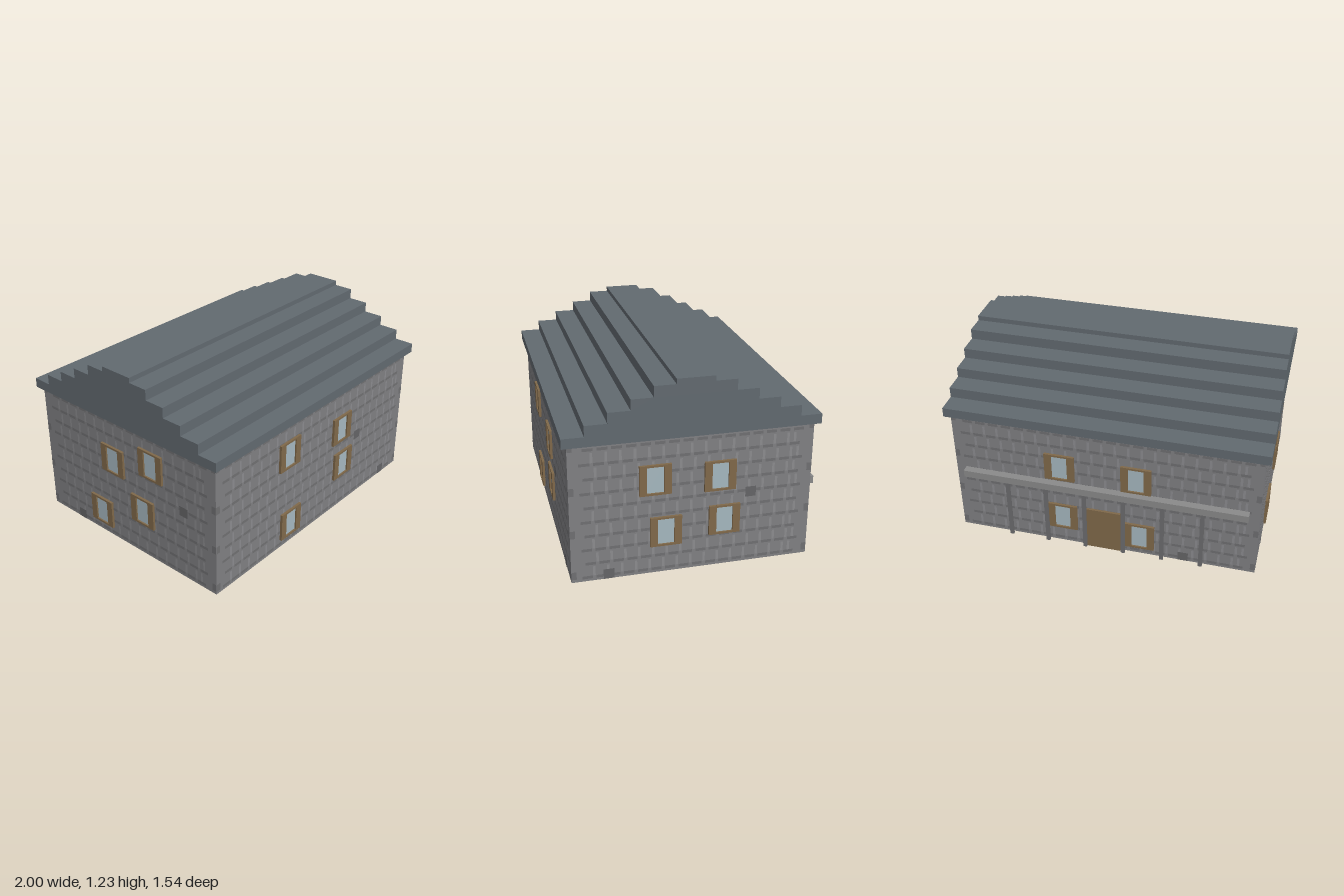
import * as THREE from 'three';
import { mergeGeometries } from 'three/addons/utils/BufferGeometryUtils.js';

const mat = (color) => new THREE.MeshStandardMaterial({ color });
const M = {
  stone: mat(0x808083), dark: mat(0x707072), light: mat(0x8c8c8f), patch: mat(0x656567),
  roof: mat(0x626a70), wood: mat(0x80694a), glass: mat(0xa6b8c0), beam: mat(0x8a8a8a), post: mat(0x6c6c6e),
};
const HX = 0.967, FRONT = 0.735, BACK = -0.72, WALL_H = 0.88;

function box(parent, name, material, w, h, d, x, y, z) {
  const mesh = new THREE.Mesh(new THREE.BoxGeometry(w, h, d), material);
  mesh.name = name;
  mesh.position.set(x, y, z);
  parent.add(mesh);
  return mesh;
}

// Shuttered window, centred on (u, v), standing proud of a wall at local z = 0
function addWindow(side, u, v) {
  const g = new THREE.Group();
  g.name = 'window';
  g.position.set(u, v, 0);
  for (const s of [-1, 1]) {
    box(g, 'shutter', M.wood, 0.045, 0.19, 0.03, s * 0.0725, 0, 0.001);
    box(g, 'frameRail', M.wood, 0.1, 0.0125, 0.03, 0, s * 0.0888, 0.001);
  }
  box(g, 'glass', M.glass, 0.1, 0.165, 0.012, 0, 0, 0);
  side.add(g);
}

// Masonry courses: flat dark joints and light upright joints just above the wall face
function addMasonry(side, u0, u1) {
  const joints = [], ticks = [];
  const quad = (list, w, h, x, y, z) => list.push(new THREE.PlaneGeometry(w, h).translate(x, y, z));
  const pitch = 0.083, n = Math.floor((u1 - u0 - 0.06) / pitch), start = (u0 + u1 - n * pitch) / 2;
  for (let row = 0; row < 10; row++) {
    const y = 0.025 + row * 0.091;
    const shift = row % 2 ? 0.25 : -0.25;
    for (let i = 0; i < n; i++) {
      const x = start + (i + 0.5 + shift * 0.5) * pitch;
      quad(joints, 0.062, 0.018, x, y, 0.001);
      if (row < 9) quad(ticks, 0.015, 0.062, x + pitch * 0.5 * (i < n - 1 ? 1 : 0), y + 0.04, 0.001);
    }
    // corner stones
    if (row % 3 === 0) for (const x of [u0 + 0.016, u1 - 0.016]) quad(joints, 0.03, 0.05, x, y + 0.02, 0.0015);
  }
  for (const [list, m, name] of [[joints, M.dark, 'bedJoints'], [ticks, M.light, 'uprightJoints']]) {
    const mesh = new THREE.Mesh(mergeGeometries(list), m);
    mesh.name = name;
    side.add(mesh);
  }
}

export function createModel() {
  const house = new THREE.Group();
  house.name = 'house';

  box(house, 'walls', M.stone, HX * 2, WALL_H, FRONT - BACK, 0, WALL_H / 2, (FRONT + BACK) / 2);

  // Each side: local x runs to the viewer's right, local z points outwards
  const sides = [
    { name: 'frontSide', pos: [0, 0, FRONT], turn: 0, u: [-HX, HX],
      windows: [[-0.308, 0.662], [0.238, 0.6], [0.27, 0.325], [-0.279, 0.15]],
      patches: [[0.432, 0.47], [0.772, 0.033]] },
    { name: 'leftSide', pos: [HX, 0, 0], turn: Math.PI / 2, u: [-FRONT, -BACK],
      windows: [[-0.234, 0.617], [0.154, 0.6], [-0.17, 0.277], [0.185, 0.31]],
      patches: [[0.345, 0.47], [-0.512, 0.033]] },
    { name: 'backSide', pos: [0, 0, BACK], turn: Math.PI, u: [-HX, HX],
      windows: [[-0.28, 0.6], [0.205, 0.59], [-0.272, 0.21], [0.228, 0.145]],
      patches: [[0.51, 0.033]] },
    { name: 'rightSide', pos: [-HX, 0, 0], turn: -Math.PI / 2, u: [BACK, FRONT],
      windows: [[0.23, 0.68], [-0.097, 0.585], [0.147, 0.322], [-0.228, 0.16]],
      patches: [[0.485, 0.47], [-0.44, 0.033]] },
  ];
  for (const s of sides) {
    const g = new THREE.Group();
    g.name = s.name;
    g.position.set(...s.pos);
    g.rotation.y = s.turn;
    addMasonry(g, ...s.u);
    s.windows.forEach(([u, v]) => addWindow(g, u, v));
    for (const [u, v] of s.patches) {
      const p = new THREE.Mesh(new THREE.PlaneGeometry(0.065, 0.065), M.patch);
      p.name = 'darkStone';
      p.position.set(u, v, 0.002);
      g.add(p);
    }
    house.add(g);
  }

  // Door and porch on the back
  box(house, 'door', M.wood, 0.22, 0.306, 0.03, 0.005, 0.153, BACK - 0.001);
  box(house, 'porchBeam', M.beam, 1.808, 0.048, 0.048, 0, 0.464, -0.744);
  for (let i = 0; i < 6; i++)
    box(house, 'porchPost', M.post, 0.025, 0.442, 0.015, -0.625 + i * 0.25, 0.221, -0.7425);

  // Stepped roof: gable outline swept along x
  const steps = [[0.759, 0.938], [0.63, 1.004], [0.5, 1.068], [0.37, 1.133], [0.24, 1.199], [0.112, 1.23]];
  const half = [];
  let y = 0.877;
  for (const [w, top] of steps) {
    half.push([w, y], [w, top]);
    y = top;
  }
  const outline = [...half, ...half.map(([w, h]) => [-w, h]).reverse()].map((p) => new THREE.Vector2(...p));
  const roof = new THREE.Mesh(
    new THREE.ExtrudeGeometry(new THREE.Shape(outline), { depth: 2, bevelEnabled: false }), M.roof);
  roof.name = 'steppedRoof';
  roof.rotation.y = Math.PI / 2;
  roof.position.set(-1, 0, 0.009);
  house.add(roof);

  return house;
}
